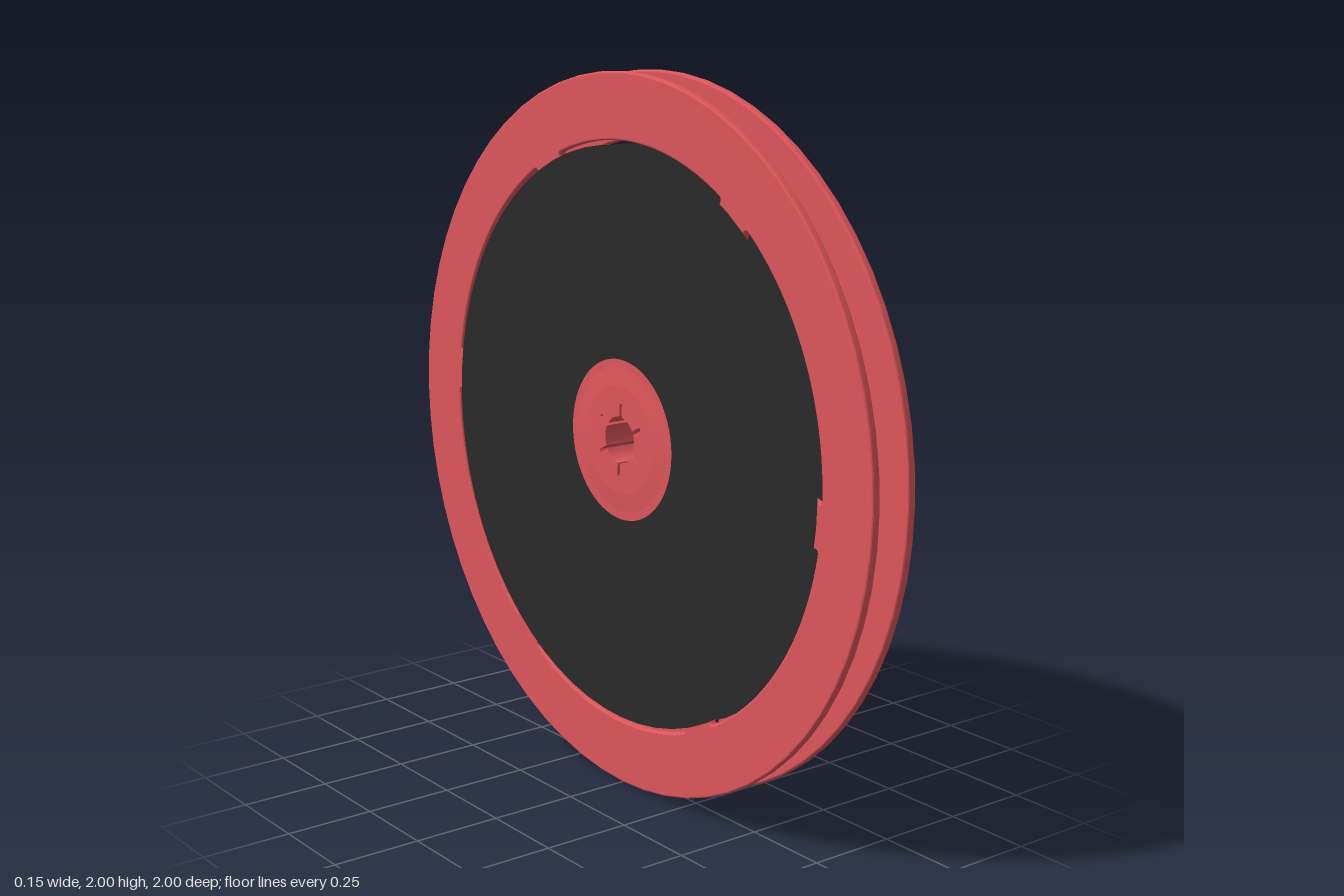
import * as THREE from 'three';
import { toCreasedNormals } from 'three/addons/utils/BufferGeometryUtils.js';

const RIM = 1, OPEN_R = 0.817, TIP_R = 0.31, SPOKES = 6;
const rad = THREE.MathUtils.degToRad;

const red = new THREE.MeshStandardMaterial({ color: 0xdf565b });
red.name = 'redPlastic';
const black = new THREE.MeshStandardMaterial({ color: 0x2a2a2a, side: THREE.DoubleSide });
black.name = 'blackDisc';

function circle(r, Type = THREE.Shape) {
  const s = new Type();
  s.absarc(0, 0, r, 0, Math.PI * 2, false);
  return s;
}

// Round spindle bore with six narrow key slots
function keyedBore() {
  const pts = [], r = 0.066, end = 0.103, half = 0.005;
  const at = (radius, a) => pts.push(new THREE.Vector2(radius * Math.cos(a), radius * Math.sin(a)));
  for (let i = 0; i < SPOKES; i++) {
    const a = rad(33 + i * 60);
    const w = half / r, e = half / end;
    at(r, a - w); at(end, a - e); at(end, a + e); at(r, a + w);
    for (let k = 1; k < 6; k++) at(r, a + w + (rad(60) - 2 * w) * k / 6);
  }
  return new THREE.Path(pts);
}

// Wedge window: rounded inner tip, arc along the rim, softened outer corners
function windowHole(mid) {
  const h = rad(26), polar = (r, a) => new THREE.Vector2(r * Math.cos(a), r * Math.sin(a));
  const tip = polar(TIP_R, mid);
  const c1 = polar(OPEN_R, mid - h), c2 = polar(OPEN_R, mid + h);
  const a1 = tip.clone().lerp(c1, 0.07), a2 = tip.clone().lerp(c2, 0.07);
  const b1 = tip.clone().lerp(c1, 0.97), b2 = tip.clone().lerp(c2, 0.97);
  const p = new THREE.Path();
  p.moveTo(a1.x, a1.y);
  p.lineTo(b1.x, b1.y);
  const s = polar(OPEN_R, mid - h + 0.02);
  p.quadraticCurveTo(c1.x, c1.y, s.x, s.y);
  p.absarc(0, 0, OPEN_R, mid - h + 0.02, mid + h - 0.02, false);
  p.quadraticCurveTo(c2.x, c2.y, b2.x, b2.y);
  p.lineTo(a2.x, a2.y);
  p.quadraticCurveTo(tip.x, tip.y, a1.x, a1.y);
  return p;
}

function part(name, geometry, material) {
  const mesh = new THREE.Mesh(geometry, material);
  mesh.name = name;
  return mesh;
}

// Extrude a profile between two x positions, optionally with rounded edges
function slab(name, shape, x0, x1, bevel = 0) {
  const geo = new THREE.ExtrudeGeometry(shape, {
    depth: x1 - x0 - 2 * bevel, curveSegments: 32,
    bevelEnabled: bevel > 0, bevelSize: bevel, bevelThickness: bevel,
    bevelOffset: -bevel, bevelSegments: 3,
  });
  geo.translate(0, 0, x0 + bevel);
  geo.rotateY(Math.PI / 2);
  return part(name, toCreasedNormals(geo, 0.2), red);
}

// Paper-thin black disc with a centre hole
function thinDisc(name, inner, outer, x) {
  const geo = new THREE.RingGeometry(inner, outer, 64);
  geo.rotateY(x < 0 ? -Math.PI / 2 : Math.PI / 2);
  geo.translate(x, 0, 0);
  return part(name, geo, black);
}

function spokedFlange() {
  const s = circle(RIM);
  for (let i = 0; i < SPOKES; i++) s.holes.push(windowHole(rad(35.2 + i * 60)));
  s.holes.push(circle(0.12, THREE.Path));
  return s;
}

export function createModel() {
  const reel = new THREE.Group();
  reel.name = 'filmReel';

  // Two matching spoked flanges
  reel.add(slab('leftFlange', spokedFlange(), 0.048, 0.073, 0.006));
  reel.add(slab('rightFlange', spokedFlange(), -0.07, -0.045, 0.006));

  // Central drum between the flanges
  const drum = circle(0.295);
  drum.holes.push(circle(0.12, THREE.Path));
  reel.add(slab('hubDrum', drum, -0.05, 0.053));

  // Keyed spindle core through the whole reel
  const core = circle(0.15);
  core.holes.push(keyedBore());
  reel.add(slab('spindleCore', core, -0.075, 0.0755));

  // Shallow sloping bosses from the core down to the flange faces
  const slope = [[0.15, -0.075], [0.205, -0.0697], [0.19, 0.0727], [0.15, 0.0755]];
  const bosses = new THREE.LatheGeometry(slope.map(([r, y]) => new THREE.Vector2(r, y)), 64);
  bosses.rotateZ(-Math.PI / 2);
  reel.add(part('spindleBosses', toCreasedNormals(bosses, 0.3), red));

  // Dark discs: one midway between the flanges, one over the right flange
  reel.add(thinDisc('innerDisc', 0.28, 0.805, 0.002));
  reel.add(thinDisc('outerDisc', 0.225, 0.805, -0.0712));

  reel.position.y = RIM;
  const model = new THREE.Group();
  model.name = 'model';
  model.add(reel);
  return model;
}
